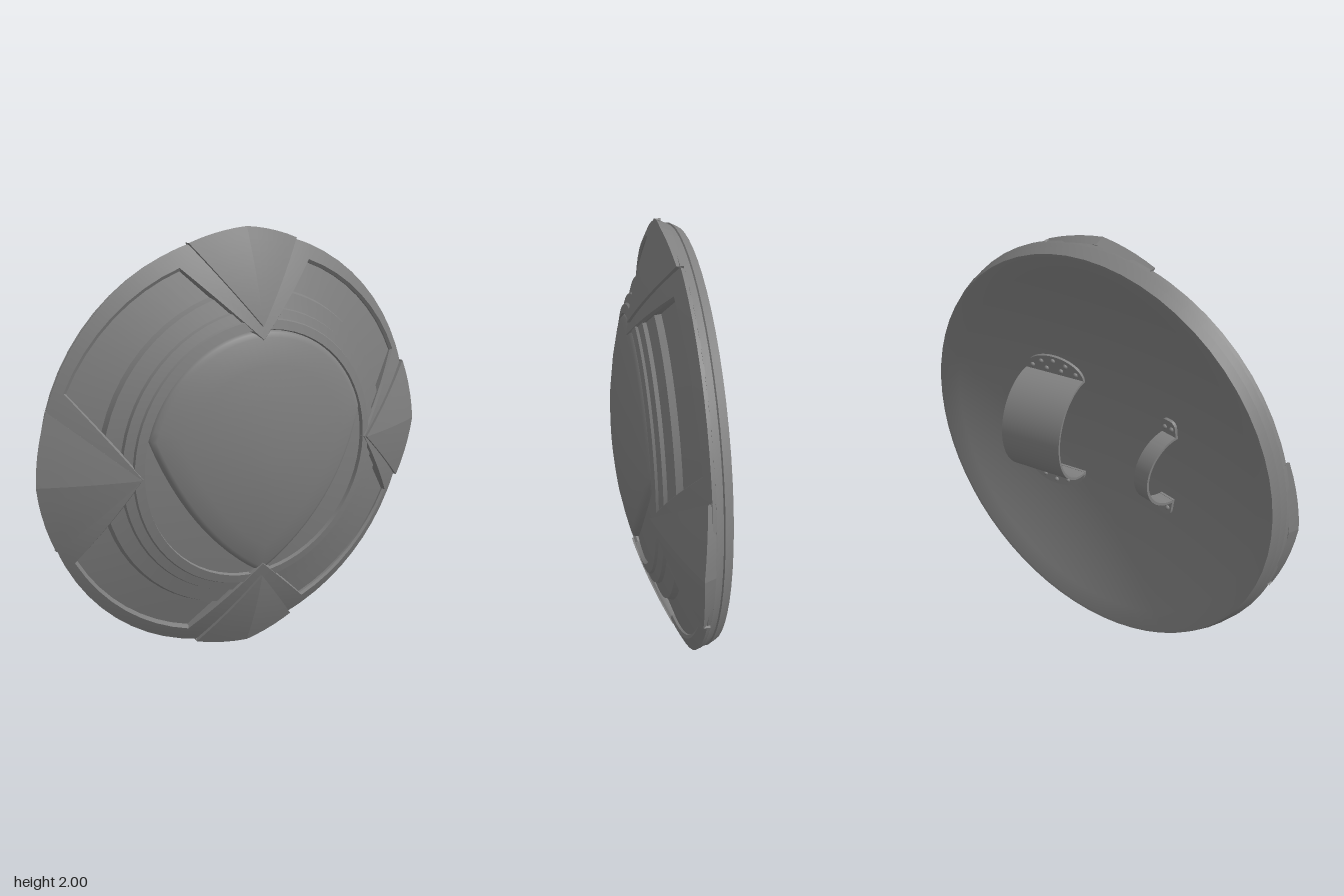
import * as THREE from 'three';
import { toCreasedNormals } from 'three/addons/utils/BufferGeometryUtils.js';

const grey = new THREE.MeshStandardMaterial({ color: 0x808080, side: THREE.DoubleSide });
const V = (x, y, z) => new THREE.Vector3(x, y, z);
const lerp = THREE.MathUtils.lerp;

// Height of the domed front face at radius r, and of the frame, which dips near the rim
const domeZ = (r) => 0.217 - 0.252 * r * r;
const frameZ = (r) => domeZ(r) - 0.016 * r ** 4;

function addMesh(parent, name, geometry) {
  const mesh = new THREE.Mesh(geometry, grey);
  mesh.name = name;
  parent.add(mesh);
  return mesh;
}

// Skin over rings of points (inner to outer, each counter-clockwise from the front)
function loft(rings, closed, crease) {
  const n = rings[0].length;
  const index = [];
  for (let i = 0; i < rings.length - 1; i++) {
    for (let j = 0; j < (closed ? n : n - 1); j++) {
      const k = (j + 1) % n;
      const a = i * n + j, b = i * n + k, c = a + n, d = b + n;
      index.push(a, c, d, a, d, b);
    }
  }
  const geo = new THREE.BufferGeometry().setFromPoints(rings.flat());
  geo.setIndex(index);
  geo.computeVertexNormals();
  return toCreasedNormals(geo, crease);
}

// Solid shell: hollow back, banded rim, stepped terraces behind the windows
function shellGeometry() {
  const profile = [];
  for (let i = 0; i <= 12; i++) {
    const r = 0.925 * i / 12;
    profile.push([r, 0.10 - 0.254 * r * r]);
  }
  profile.push(
    [0.94, -0.12], [0.958, -0.085], [0.953, -0.08], [0.967, -0.05], [0.96, -0.045],
    [0.92, -0.03], [0.745, 0.028], [0.735, 0.055], [0.665, 0.078], [0.66, 0.094],
    [0.62, 0.107], [0.615, 0.118], [0.575, 0.128], [0.57, 0.11], [0.3, 0.155], [0, 0.175]);
  const geo = new THREE.LatheGeometry(profile.map(([r, z]) => new THREE.Vector2(r, z)), 64);
  geo.rotateX(Math.PI / 2);
  return toCreasedNormals(geo, 0.4);
}

// Outer frame: a ring with four spikes pointing inwards
function frameGeometry() {
  const spikes = [
    { apex: 0.57, corner: [0.84, 0.37] },
    { apex: 0.52, corner: [0.83, 0.32] },
    { apex: 0.57, corner: [0.84, 0.37] },
    { apex: 0.51, corner: [0.83, 0.32] },
  ];
  const edge = ({ apex, corner: [cx, cy] }, t) =>
    apex * cy / (Math.cos(t) * cy - Math.sin(t) * (cx - apex));
  const outline = []; // [angle, inner radius]
  spikes.forEach((spike, q) => {
    const next = spikes[(q + 1) % 4];
    const base = q * Math.PI / 2;
    const t0 = Math.atan2(spike.corner[1], spike.corner[0]);
    const t1 = Math.PI / 2 - Math.atan2(next.corner[1], next.corner[0]);
    for (let i = 0; i < 8; i++) outline.push([base + t0 * i / 8, edge(spike, t0 * i / 8)]);
    for (let i = 0; i < 8; i++) {
      outline.push([base + lerp(t0, t1, i / 8),
        lerp(Math.hypot(...spike.corner), Math.hypot(...next.corner), i / 8)]);
    }
    for (let i = 0; i < 8; i++) {
      const t = lerp(t1, Math.PI / 2, i / 8);
      outline.push([base + t, edge(next, Math.PI / 2 - t)]);
    }
  });
  const ring = (radius, height) => outline.map(([a, inner]) => {
    const r = radius(inner);
    return V(r * Math.cos(a), r * Math.sin(a), height(r));
  });
  const rings = [
    ring((r) => r, (r) => frameZ(r) - 0.06),
    ring((r) => r, (r) => frameZ(r) - 0.014),
  ];
  for (let i = 0; i <= 6; i++) rings.push(ring((r) => lerp(r + 0.014, 0.972, i / 6), frameZ));
  rings.push(ring(() => 0.966, () => -0.052));
  return loft(rings, true, 0.5);
}

// Raised centre plate: round on top, drawn to a point at the bottom
function centrePlateGeometry() {
  const outline = [];
  const start = Math.atan2(0.16, 0.547);
  for (let i = 0; i < 32; i++) {
    const a = lerp(start, Math.PI - start, i / 32);
    outline.push([0.57 * Math.cos(a), 0.57 * Math.sin(a)]);
  }
  const side = new THREE.QuadraticBezierCurve(
    new THREE.Vector2(0.547, 0.16), new THREE.Vector2(0.39, -0.3), new THREE.Vector2(0, -0.575)).getPoints(12);
  side.slice(0, 12).forEach((p) => outline.push([-p.x, p.y]));
  side.slice(1).reverse().forEach((p) => outline.push([p.x, p.y]));
  const ring = (s, drop) => outline.map(([x, y]) =>
    V(x * s, y * s, domeZ(Math.hypot(x, y) * s) - drop));
  return loft([ring(0, 0), ring(0.25, 0), ring(0.5, 0.001), ring(0.75, 0.003), ring(0.95, 0.005),
    ring(0.985, 0.009), ring(1, 0.018), ring(1, 0.06)], true, 0.7);
}

// Ridged kite plate along +x, its tip towards the centre
function pointPlateGeometry(tip, halfAngle) {
  const lowest = -0.048;
  const row = (s, inset, drop) => {
    const top = [];
    for (let j = -5; j <= 5; j++) {
      const t = j / 5, rim = lerp(1, 0.978, Math.abs(t)) - inset;
      const x = lerp(tip, rim * Math.cos(t * halfAngle), s);
      const y = s * rim * Math.sin(t * halfAngle);
      const lift = 0.012 + s * lerp(0.023, -0.007, Math.abs(t));
      top.push(V(x, y, Math.max(domeZ(Math.hypot(x, y)) + lift - drop, lowest)));
    }
    const below = (p) => V(p.x, p.y, Math.max(p.z - 0.035, lowest));
    return [below(top[0]), ...top, below(top[10])];
  };
  const rings = [];
  for (let i = 0; i <= 8; i++) rings.push(row(i / 8, 0, 0));
  rings.push(row(1, 0.02, 0.07));
  return loft(rings, false, 0.14);
}

// Arched strap with riveted feet; local x runs along the arch, y stands off the back
function strap(name, { x, z, tilt, width, radius, height, foot, corner, rivets }) {
  const group = new THREE.Group();
  group.name = name;
  const arch = new THREE.Shape();
  arch.absellipse(0, 0, radius, height, 0, Math.PI, false);
  arch.absellipse(0, 0, radius - 0.012, height - 0.012, Math.PI, 0, true);
  const archGeo = new THREE.ExtrudeGeometry(arch, { depth: width, bevelEnabled: false, curveSegments: 28 });
  archGeo.translate(0, 0, -width / 2);
  addMesh(group, name + 'Arch', toCreasedNormals(archGeo, 0.5));

  // Foot outline with rounded outer corners
  const half = width / 2, [cu, cw] = corner;
  const outline = new THREE.Shape();
  outline.moveTo(0, half);
  outline.lineTo(0, -half);
  outline.absellipse(foot - cu, cw - half, cu, cw, -Math.PI / 2, 0, false);
  outline.absellipse(foot - cu, half - cw, cu, cw, 0, Math.PI / 2, false);
  const flangeGeo = new THREE.ExtrudeGeometry(outline, { depth: 0.014, bevelEnabled: false, curveSegments: 10 });
  flangeGeo.rotateX(-Math.PI / 2);
  const flangeSkin = toCreasedNormals(flangeGeo, 0.5);

  for (const end of [0, 1]) {
    const side = new THREE.Group();
    side.name = name + 'Foot';
    side.rotation.y = end * Math.PI;
    const flange = new THREE.Group();
    flange.position.x = radius - 0.012;
    flange.rotation.z = 0.15;
    side.add(flange);
    addMesh(flange, name + 'Flange', flangeSkin);
    for (const [u, w] of rivets) {
      const rivet = addMesh(flange, name + 'Rivet', new THREE.SphereGeometry(0.012, 10, 8));
      rivet.position.set(u * foot, 0.014, w * half);
    }
    group.add(side);
  }
  group.quaternion.setFromRotationMatrix(
    new THREE.Matrix4().makeBasis(V(0, 1, 0), V(0, 0, -1), V(-1, 0, 0)));
  group.rotateOnWorldAxis(V(0, 1, 0), tilt);
  group.position.set(x, 0, z);
  return group;
}

export function createModel() {
  const model = new THREE.Group();
  model.name = 'roundShield';
  const shield = new THREE.Group();
  shield.name = 'shield';
  shield.position.y = 1;
  model.add(shield);

  addMesh(shield, 'shell', shellGeometry());
  addMesh(shield, 'frame', frameGeometry());
  addMesh(shield, 'centrePlate', centrePlateGeometry());

  // Plates on the four spikes
  ['leftPlate', 'topPlate', 'rightPlate', 'bottomPlate'].forEach((name, i) => {
    const plate = addMesh(shield, name, pointPlateGeometry(0.59, i % 2 ? 0.28 : 0.32));
    plate.rotation.z = i * Math.PI / 2;
  });

  // Arm strap and hand grip on the back
  shield.add(strap('armStrap', {
    x: 0.315, z: 0.05, tilt: 0.16, width: 0.31, radius: 0.262, height: 0.25, foot: 0.11, corner: [0.1, 0.155],
    rivets: [[0.35, -0.75], [0.65, -0.42], [0.78, 0], [0.65, 0.42], [0.35, 0.75], [0.35, -0.25], [0.35, 0.25]],
  }));
  shield.add(strap('handGrip', {
    x: -0.335, z: 0.055, tilt: -0.16, width: 0.08, radius: 0.175, height: 0.185, foot: 0.09, corner: [0.03, 0.03],
    rivets: [[0.55, -0.48], [0.55, 0.48]],
  }));
  return model;
}
